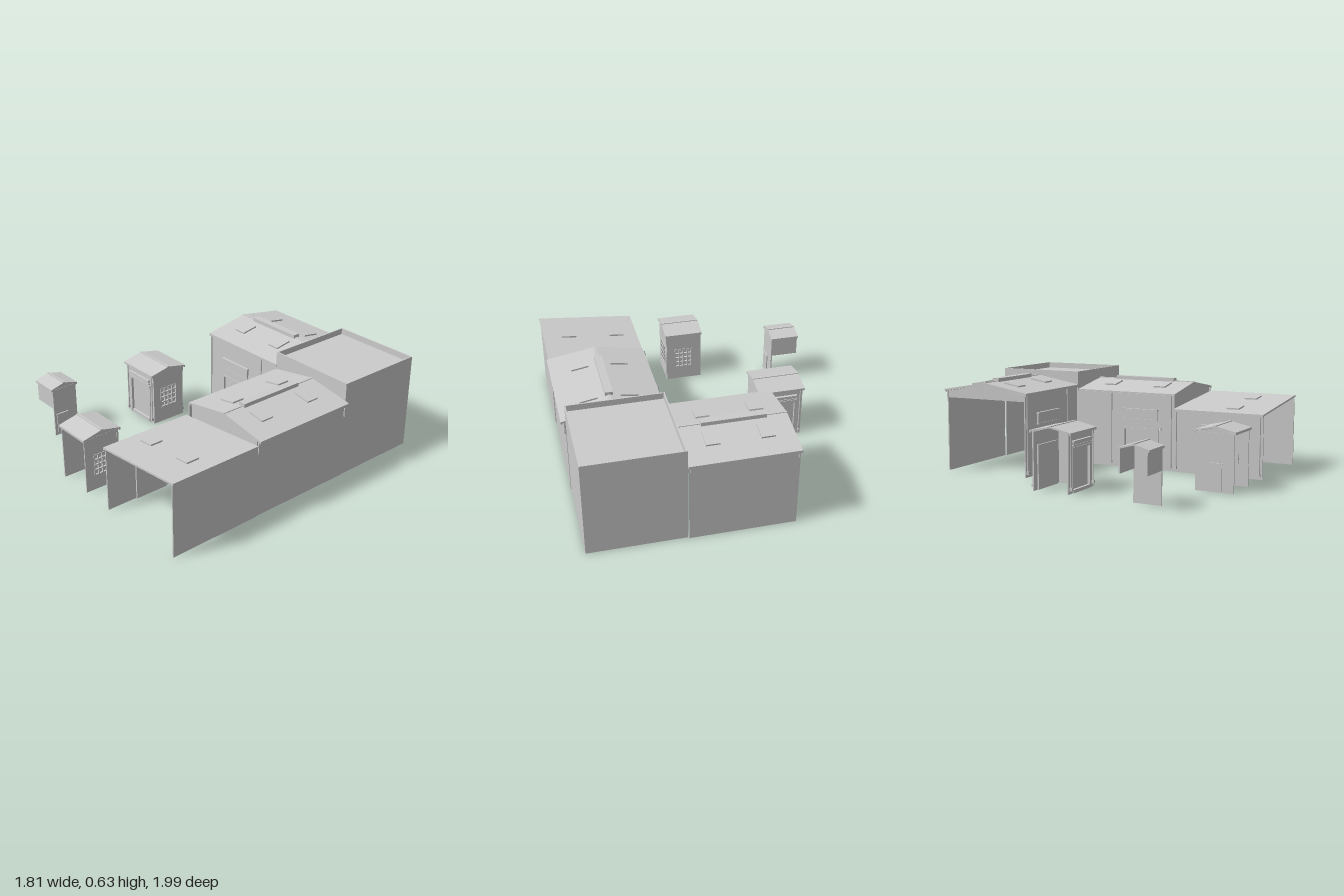
import * as THREE from 'three';

const grey = new THREE.MeshStandardMaterial({ color: 0xcccccc, side: THREE.DoubleSide });
grey.name = 'plain grey';
const T = 0.008; // wall thickness

function add(parent, name, geometry) {
  const mesh = new THREE.Mesh(geometry, grey);
  mesh.name = name;
  parent.add(mesh);
  return mesh;
}

// Box given by its limits on each axis
function box(parent, name, x0, x1, y0, y1, z0, z1) {
  const m = add(parent, name, new THREE.BoxGeometry(x1 - x0, y1 - y0, z1 - z0));
  m.position.set((x0 + x1) / 2, (y0 + y1) / 2, (z0 + z1) / 2);
  return m;
}

function group(parent, name, x = 0, z = 0, turn = 0) {
  const g = new THREE.Group();
  g.name = name;
  g.position.set(x, 0, z);
  g.rotation.y = turn;
  parent.add(g);
  return g;
}

function extrude(points, depth, holes = []) {
  const shape = new THREE.Shape(points.map(p => new THREE.Vector2(...p)));
  for (const [a, b, c, d] of holes)
    shape.holes.push(new THREE.Path([[a, c], [a, d], [b, d], [b, c]].map(p => new THREE.Vector2(...p))));
  return new THREE.ExtrudeGeometry(shape, { depth, bevelEnabled: false });
}

// Wall facing local +z, its outer face on z = 0, with optional details
function facade(parent, name, x, z, turn, w, h, o = {}) {
  const g = group(parent, name, x, z, turn);
  const holes = [];
  let outline = [[-w / 2, 0], [w / 2, 0], [w / 2, h], [-w / 2, h]];
  if (o.door) { // door notch reaching the ground, with a recessed shutter
    const [a, b, top] = o.door;
    outline = [[-w / 2, 0], [a, 0], [a, top], [b, top], [b, 0], [w / 2, 0], [w / 2, h], [-w / 2, h]];
    box(g, 'doorPanel', a, b, 0, top, -0.018, -0.012);
    for (const u of [a, b]) box(g, 'doorJamb', u - 0.006, u + 0.006, 0, top, -0.018, 0.005);
    box(g, 'doorLintel', a - 0.006, b + 0.006, top - 0.006, top + 0.006, -0.018, 0.005);
    box(g, 'doorStep', a + 0.01, b - 0.01, 0, 0.02, -0.012, 0.006);
  }
  if (o.window) { // lattice window
    const [a, b, c, d] = o.window;
    holes.push(o.window);
    box(g, 'windowPane', a, b, c, d, -0.012, -0.008);
    for (let i = 0; i <= 4; i++) {
      const u = a + (b - a) * i / 4, v = c + (d - c) * i / 4;
      box(g, 'windowBar', u - 0.003, u + 0.003, c, d, -0.01, 0.004);
      box(g, 'windowRail', a, b, v - 0.003, v + 0.003, -0.01, 0.004);
    }
  }
  add(g, 'wall', extrude(outline, T, holes)).position.z = -T;
  if (o.sign) { // framed board above the door
    const [a, b, c, d] = o.sign;
    box(g, 'signBoard', a, b, c, d, 0, 0.01);
    box(g, 'signTop', a - 0.004, b + 0.004, d - 0.01, d, 0, 0.018);
    box(g, 'signFoot', a - 0.004, b + 0.004, c, c + 0.008, 0, 0.014);
  }
  if (o.plate) { // small side door
    const [a, b, c, d] = o.plate;
    box(g, 'sideDoor', a, b, c, d, 0, 0.007);
    box(g, 'sideDoorHead', a - 0.005, b + 0.005, d, d + 0.008, 0, 0.01);
  }
  for (const u of o.pipes || []) {
    const p = add(g, 'downpipe', new THREE.CylinderGeometry(0.005, 0.005, h - 0.02, 6));
    p.position.set(u, h / 2 + 0.01, 0.006);
    box(g, 'pipeFoot', u - 0.006, u + 0.006, 0.02, 0.04, 0, 0.016);
  }
  if (o.lamp) {
    const [u, v] = o.lamp;
    box(g, 'lampArm', u - 0.003, u + 0.003, v, v + 0.006, 0, 0.022);
    add(g, 'lampShade', new THREE.CylinderGeometry(0.004, 0.01, 0.016, 8)).position.set(u, v - 0.003, 0.024);
  }
  return g;
}

// Gable roof with its ridge along local x, centred on the group
function gableRoof(g, len, span, eave, ridge, t) {
  const s = span / 2;
  const roof = add(g, 'roof', extrude([[-s, eave - t], [0, ridge - t], [s, eave - t], [s, eave], [0, ridge], [-s, eave]], len));
  roof.rotation.y = Math.PI / 2;
  roof.position.x = -len / 2;
  box(g, 'ridgeCap', -len / 2, len / 2, ridge - 0.006, ridge + 0.003, -0.008, 0.008);
  for (const k of [-1, 1]) box(g, 'eaveTrim', -len / 2, len / 2, eave - t - 0.006, eave - t + 0.004, k * (s - 0.006) - 0.005, k * (s - 0.006) + 0.005);
}

function gableEnd(g, x, span, base, eave, ridge) {
  const s = span / 2;
  const m = add(g, 'gableEnd', extrude([[-s, base], [s, base], [s, eave], [0, ridge], [-s, eave]], T));
  m.rotation.y = Math.PI / 2;
  m.position.x = x;
}

// Ridge vent and four skylights of the large roofs
function roofFittings(g, ventLen, shift, span, eave, ridge) {
  box(g, 'ridgeVent', shift - ventLen / 2, shift + ventLen / 2, ridge - 0.025, ridge + 0.02, -0.025, 0.025);
  const slope = Math.atan2(ridge - eave, span / 2);
  for (const sx of [-1, 1]) for (const sz of [-1, 1]) {
    const m = add(g, 'skylight', new THREE.BoxGeometry(0.085, 0.012, 0.115));
    m.position.set(shift + sx * (ventLen / 2 - 0.035), ridge - (ridge - eave) * 0.4 + 0.004, sz * span * 0.2);
    m.rotation.x = sz * slope;
  }
}

export function createModel() {
  const model = new THREE.Group();
  model.name = 'courtyardBuildings';
  const Q = Math.PI / 2;

  // Back hall, its left end open below the gable
  const back = group(model, 'backHall', -0.075, -0.68);
  gableRoof(back, 0.67, 0.64, 0.545, 0.6, 0.012);
  roofFittings(back, 0.4, -0.005, 0.64, 0.545, 0.6);
  for (const x of [-0.325, 0.317]) gableEnd(back, x, 0.62, 0.49, 0.53, 0.588);
  facade(back, 'backHallFront', 0, 0.31, 0, 0.66, 0.535, {
    door: [-0.19, 0.07, 0.27], sign: [-0.19, 0.06, 0.33, 0.41], pipes: [-0.315, 0.19], lamp: [0.085, 0.3]
  });
  facade(back, 'backHallRear', 0, -0.3, Math.PI, 0.66, 0.535);

  // Corner block with parapet
  const corner = group(model, 'cornerBlock');
  box(corner, 'flatRoof', 0.27, 0.865, 0.585, 0.595, -0.965, -0.37);
  facade(corner, 'cornerRear', 0.565, -0.97, Math.PI, 0.61, 0.635);
  facade(corner, 'cornerSide', 0.87, -0.665, Q, 0.61, 0.635);
  box(corner, 'parapetFront', 0.26, 0.87, 0.42, 0.635, -0.37, -0.362);
  box(corner, 'parapetInner', 0.262, 0.27, 0.42, 0.635, -0.97, -0.362);

  // Middle hall, ridge running front to back
  const middle = group(model, 'middleHall', 0.58, 0.005, Q);
  gableRoof(middle, 0.73, 0.64, 0.515, 0.57, 0.012);
  roofFittings(middle, 0.445, 0, 0.64, 0.515, 0.57);
  for (const x of [-0.36, 0.352]) gableEnd(middle, x, 0.6, 0.42, 0.505, 0.558);
  facade(model, 'middleHallFront', 0.255, 0.005, -Q, 0.73, 0.505, {
    door: [-0.005, 0.245, 0.27], sign: [-0.005, 0.245, 0.33, 0.405], pipes: [-0.1, 0.345], lamp: [0.275, 0.28]
  });
  facade(model, 'middleHallSide', 0.873, 0.005, Q, 0.735, 0.51);

  // Front shed with a single slope, open to the front
  const shed = group(model, 'frontShed');
  add(shed, 'shedRoof', extrude([[0.235, 0.408], [0.885, 0.47], [0.885, 0.482], [0.235, 0.42]], 0.62)).position.z = 0.372;
  box(shed, 'eaveTrim', 0.235, 0.245, 0.402, 0.415, 0.372, 0.992);
  facade(shed, 'shedFront', 0.25, 0.68, -Q, 0.62, 0.408, {
    door: [-0.11, 0.1, 0.25], sign: [-0.11, 0.1, 0.29, 0.33], pipes: [-0.29, 0.29], lamp: [0.135, 0.27]
  });
  facade(shed, 'shedSide', 0.878, 0.68, Q, 0.62, 0.472);
  for (const x of [0.38, 0.71]) {
    const m = add(shed, 'skylight', new THREE.BoxGeometry(0.1, 0.012, 0.085));
    m.position.set(x, 0.42 + (x - 0.235) * 0.095 + 0.004, 0.75);
    m.rotation.z = 0.095;
  }

  // Shuttered booth, left open on -x
  const booth = group(model, 'shutterBooth', -0.565, 0.005);
  gableRoof(booth, 0.315, 0.29, 0.37, 0.4, 0.01);
  gableEnd(booth, 0.142, 0.26, 0.33, 0.36, 0.388);
  for (const k of [1, -1]) facade(booth, 'boothShutterWall', 0, k * 0.125, k > 0 ? 0 : Math.PI, 0.3, 0.36, {
    door: [-0.105, 0.105, 0.27], sign: [-0.105, 0.105, 0.285, 0.318], pipes: [-0.135, 0.135]
  });
  facade(booth, 'boothWindowWall', 0.15, 0, Q, 0.25, 0.36, { window: [-0.065, 0.065, 0.11, 0.25] });

  // Latticed booth, left open on the front
  const lattice = group(model, 'latticeBooth', -0.105, 0.857);
  gableRoof(lattice, 0.265, 0.272, 0.37, 0.4, 0.01);
  for (const x of [-0.125, 0.113]) gableEnd(lattice, x, 0.24, 0.33, 0.36, 0.388);
  facade(lattice, 'latticeRear', 0, -0.12, Math.PI, 0.25, 0.36, { window: [-0.06, 0.06, 0.1, 0.24] });
  facade(lattice, 'latticeSide', 0.122, 0, Q, 0.25, 0.36, { window: [-0.06, 0.06, 0.1, 0.24] });
  facade(lattice, 'latticeDoorSide', -0.128, 0, -Q, 0.25, 0.36, { plate: [-0.025, 0.05, 0.01, 0.17] });

  // Small canopy on one wall, with hanging boards
  const canopy = group(model, 'canopy', -0.808, 0.65);
  gableRoof(canopy, 0.195, 0.2, 0.345, 0.372, 0.01);
  gableEnd(canopy, 0.084, 0.18, 0.3, 0.335, 0.36);
  for (const k of [-1, 1]) box(canopy, 'hangingBoard', -0.095, 0.092, 0.2, 0.34, k * 0.085 - 0.004, k * 0.085 + 0.004);
  facade(canopy, 'canopyWall', 0.094, 0, Q, 0.178, 0.338, { plate: [-0.07, 0.01, 0.02, 0.15] });

  return model;
}
